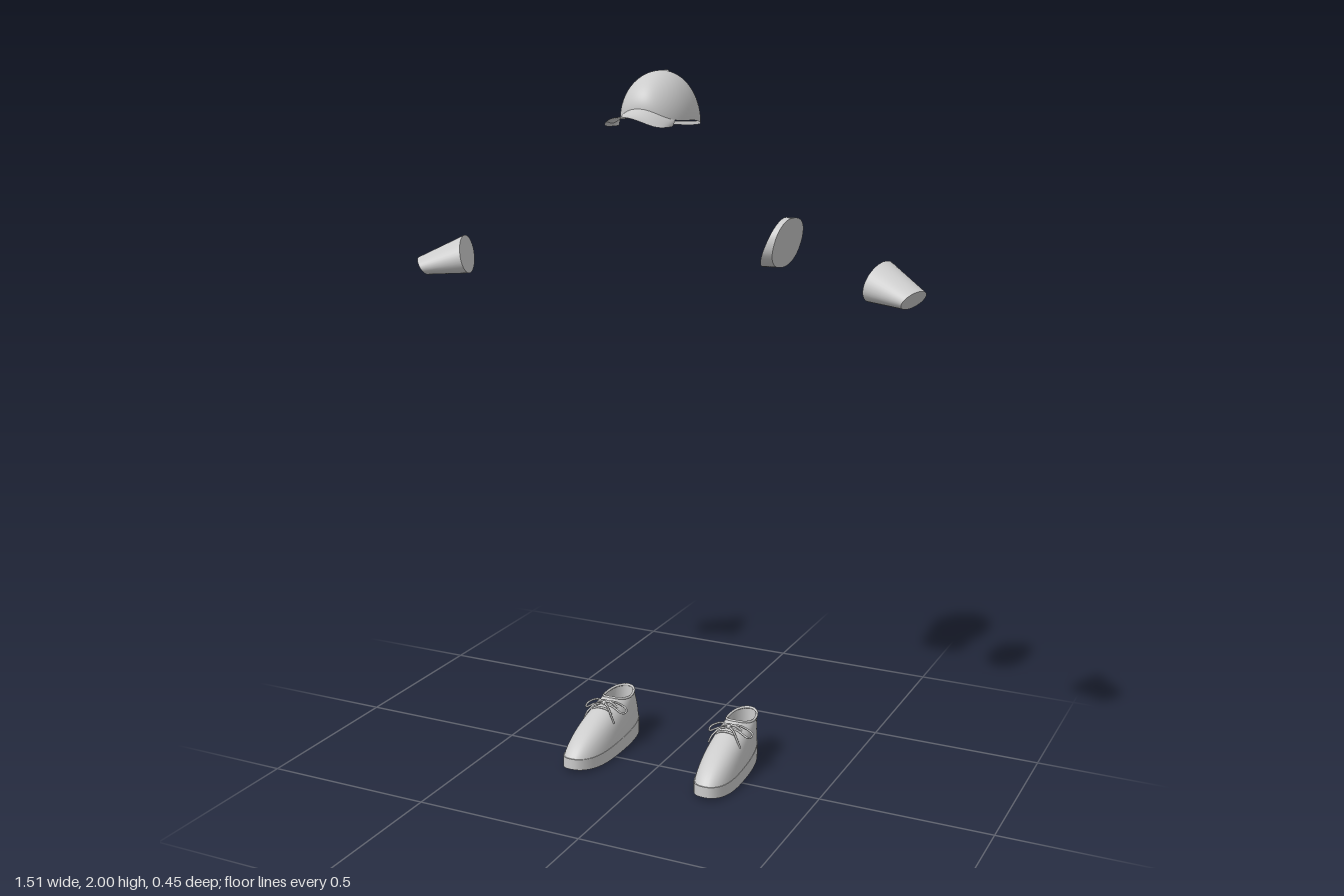
import * as THREE from 'three';
import { ParametricGeometry } from 'three/addons/geometries/ParametricGeometry.js';

const { PI, cos, sin, abs, sign, sqrt, max } = Math;
const V = (x, y, z) => new THREE.Vector3(x, y, z);
const lerp = THREE.MathUtils.lerp;
const grey = new THREE.MeshStandardMaterial({ color: 0xcccccc, side: THREE.DoubleSide });
const spow = (v, p) => sign(v) * abs(v) ** p;

function add(parent, name, geometry) {
  const mesh = new THREE.Mesh(geometry, grey);
  mesh.name = name;
  parent.add(mesh);
  return mesh;
}

// Smooth surface from a rule f(u, v) -> Vector3
function surface(parent, name, f, nu = 48, nv = 12) {
  return add(parent, name, new ParametricGeometry((u, v, t) => t.copy(f(u, v)), nu, nv));
}

// Wall between two loops, with a flat disc on each end
function plug(parent, name, a, b) {
  const g = new THREE.Group();
  g.name = name;
  parent.add(g);
  surface(g, name + 'Wall', (u, v) => a(u * 2 * PI).lerp(b(u * 2 * PI), v), 40, 4);
  for (const [end, loop] of [['InnerEnd', a], ['OuterEnd', b]]) {
    const c = loop(0).add(loop(PI)).multiplyScalar(0.5);
    surface(g, name + end, (u, v) => c.clone().lerp(loop(u * 2 * PI), lerp(0.001, 1, v)), 40, 2);
  }
}

const ellipse = (c, A, B) => (a) => c.clone().addScaledVector(A, cos(a)).addScaledVector(B, sin(a));

function tube(parent, name, pts, r = 0.0035, closed = false) {
  add(parent, name, new THREE.TubeGeometry(new THREE.CatmullRomCurve3(pts, closed), 24, r, 6, closed));
}

// ---- Cap: angle 0 is the front, PI the back
function rimY(a) {
  const c = cos(a);
  return c > 0 ? 1.87 + 0.032 * c ** 4 : 1.87 + 0.022 * c;
}
function crownPoint(a, e) {
  const r = cos(e);
  return V(0.095 * spow(sin(a), 0.9) * r, lerp(rimY(a), 1.998, sin(e)), -0.012 + 0.138 * spow(cos(a), 0.9) * r);
}

function makeCap() {
  const cap = new THREE.Group();
  cap.name = 'cap';
  // crown, cut out by an arch at the back
  surface(cap, 'crown', (u, v) => {
    const a = u * 2 * PI;
    const d = (a - PI) / 0.8;
    const e0 = abs(d) < 1 ? 0.32 * sqrt(1 - d * d) : 0;
    return crownPoint(a, lerp(e0, PI / 2 - 0.004, v));
  }, 80, 20);
  // strap under the arch
  surface(cap, 'backStrap', (u, v) => {
    const p = crownPoint(PI + (u - 0.5) * 1.7, 0);
    p.y += v * 0.01;
    return p;
  }, 24, 1);
  // curved brim
  surface(cap, 'brim', (u, v) => {
    const s = u * 2 - 1;
    const inner = crownPoint(s * 0.98, 0);
    const x = 0.077 * sin(s * PI / 2);
    const outer = V(x, 1.886 - 0.03 * (x / 0.077) ** 2, 0.09 + 0.137 * sqrt(max(0, cos(s * PI / 2))));
    const p = inner.lerp(outer, v);
    p.y -= 0.006 * sin(v * PI);
    return p;
  }, 40, 10);
  const button = add(cap, 'button', new THREE.SphereGeometry(0.008, 12, 8));
  button.scale.y = 0.5;
  button.position.set(0, 1.995, -0.045);
  return cap;
}

// ---- Cuff: tapers from a wide inner end to a flat outer end
function makeCuff() {
  const g = new THREE.Group();
  plug(g, 'cuff',
    ellipse(V(0.622, 1.472, -0.014), V(-0.018, 0, 0.066), V(0.014, 0.053, -0.008)),
    ellipse(V(0.734, 1.439, 0.045), V(-0.016, 0, 0.043), V(0.016, 0.024, 0)));
  return g;
}

// ---- Wedge-shaped oval pad by the shoulder
function makePad() {
  const g = new THREE.Group();
  g.name = 'shoulderPad';
  const oval = (x0, sy, sz) => (a) => {
    const z = 0.106 * spow(cos(a), 0.88);
    const y = 0.068 * spow(sin(a), 0.88) + 0.08 * z;
    return V(x0 + sy * y + sz * z, 1.548 + y, -0.09 + z);
  };
  plug(g, 'pad', oval(0.303, 0.44, 0.12), oval(0.34, 0.27, 0));
  return g;
}

// ---- Shoe, built around x = 0; angle 0 is the toe
const toeLift = (z) => 0.012 * max(0, (z - 0.04) / 0.115) ** 2;
function soleEdge(a, y, k = 1) {
  const c = cos(a);
  const z = -0.035 + 0.188 * k * spow(c, 0.9);
  return V((0.059 + 0.005 * c) * k * spow(sin(a), 0.8) + 0.008 * c, y + toeLift(z), z);
}
function collarEdge(a) {
  return V(0.04 * sin(a), 0.137 + 0.013 * max(0, cos(a)) ** 2 + 0.006 * max(0, -cos(a)), -0.142 + 0.064 * cos(a));
}

function makeShoe() {
  const shoe = new THREE.Group();
  // sole: band and flat underside
  const band = (a) => 0.04 - 0.008 * cos(a);
  surface(shoe, 'soleBand', (u, v) => soleEdge(u * 2 * PI, v * band(u * 2 * PI), 1.015), 48, 3);
  surface(shoe, 'soleBottom', (u, v) => soleEdge(u * 2 * PI, 0, lerp(0.001, 1.015, v)), 48, 8);
  surface(shoe, 'soleWelt', (u, v) => {
    const a = u * 2 * PI;
    return soleEdge(a, band(a), lerp(0.96, 1.015, v));
  }, 48, 1);
  // upper: from the sole edge, bulging over the foot, to the collar
  surface(shoe, 'upper', (u, v) => {
    const a = u * 2 * PI;
    const p0 = soleEdge(a, band(a) - 0.004);
    const p2 = collarEdge(a);
    const p1 = p0.clone().lerp(p2, 0.17);
    p1.y = 0.1;
    return p0.multiplyScalar((1 - v) ** 2).addScaledVector(p1, 2 * v * (1 - v)).addScaledVector(p2, v * v);
  }, 56, 16);
  // lining and insole
  const floor = (a) => {
    const p = collarEdge(a);
    p.y = 0.06;
    return p;
  };
  surface(shoe, 'lining', (u, v) => collarEdge(u * 2 * PI).lerp(floor(u * 2 * PI), v), 40, 4);
  surface(shoe, 'insole', (u, v) => V(0, 0.06, -0.142).lerp(floor(u * 2 * PI), lerp(0.001, 1, v)), 40, 2);
  // padded collar rim
  tube(shoe, 'collarRim', Array.from({ length: 16 }, (_, i) => collarEdge(i * PI / 8)), 0.004, true);
  // laces across the instep
  for (const [z, y] of [[-0.055, 0.147], [-0.025, 0.137]]) {
    tube(shoe, 'lace', [V(-0.042, y - 0.032, z - 0.012), V(-0.022, y - 0.004, z), V(0, y + 0.002, z + 0.004),
      V(0.022, y - 0.004, z), V(0.042, y - 0.032, z - 0.012)]);
  }
  // bow: a loop and a loose end on each side
  for (const s of [-1, 1]) {
    tube(shoe, 'bowLoop', [V(0, 0.145, -0.045), V(s * 0.03, 0.146, -0.06), V(s * 0.066, 0.126, -0.064),
      V(s * 0.062, 0.12, -0.046), V(s * 0.03, 0.138, -0.042)], 0.003, true);
    tube(shoe, 'laceEnd', [V(0, 0.144, -0.045), V(s * 0.022, 0.142, -0.025), V(s * 0.04, 0.122, -0.012), V(s * 0.05, 0.1, -0.012)], 0.003);
  }
  const knot = add(shoe, 'bowKnot', new THREE.SphereGeometry(0.007, 10, 8));
  knot.position.set(0, 0.145, -0.044);
  return shoe;
}

export function createModel() {
  const model = new THREE.Group();
  model.name = 'outfit';
  model.add(makeCap(), makePad());
  for (const [side, s] of [['left', 1], ['right', -1]]) {
    const cuff = makeCuff();
    cuff.name = side + 'Cuff';
    cuff.scale.x = s;
    const shoe = makeShoe();
    shoe.name = side + 'Shoe';
    shoe.scale.x = s;
    shoe.position.x = s * 0.203;
    model.add(cuff, shoe);
  }
  return model;
}
